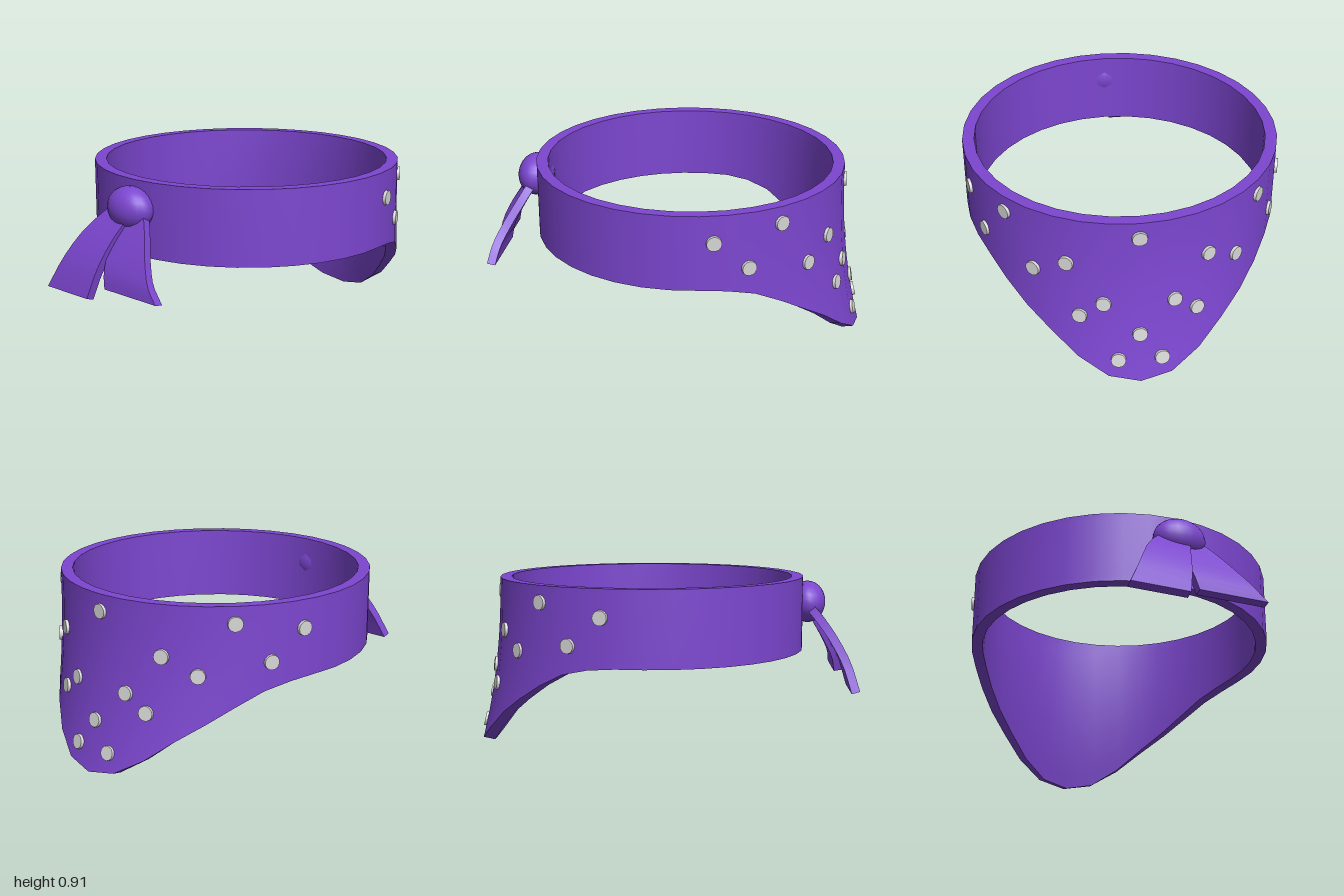
import * as THREE from 'three';
import { mergeGeometries } from 'three/addons/utils/BufferGeometryUtils.js';

const CX = 0.08, TOP = 0.91, HEM = 0.525, RADIUS = 0.805, THICK = 0.06;
// hem drop at every 10 degrees away from the point of the drape
const DROPS = [0.52, 0.49, 0.4, 0.29, 0.2, 0.115, 0.045, 0.012, 0];

function drop(deg) {
  const a = Math.abs(deg > 180 ? deg - 360 : deg) / 10;
  if (a >= 8) return 0;
  const i = Math.floor(a);
  return THREE.MathUtils.lerp(DROPS[i], DROPS[i + 1], a - i);
}

// point on the band: v runs 0 (top edge) to 1 (hem), inset moves inward
function bandPoint(deg, v, inset = 0) {
  const d = drop(deg), t = THREE.MathUtils.degToRad(deg);
  const bottom = HEM - d * (inset ? 1 : 0.97);
  const r = RADIUS + 0.115 * Math.pow(d / 0.52, 1.5) * v ** 2.1 - inset;
  return new THREE.Vector3(CX + r * Math.cos(t), TOP + (bottom - TOP) * v, r * Math.sin(t));
}

// smooth sheet over a grid of points; the outside is along du x dv
function sheet(nu, nv, point, closed = false) {
  const pos = [], index = [], cols = closed ? nu : nu + 1;
  for (let j = 0; j <= nv; j++)
    for (let i = 0; i < cols; i++) pos.push(...point(i / nu, j / nv).toArray());
  for (let j = 0; j < nv; j++)
    for (let i = 0; i < nu; i++) {
      const k = (i + 1) % cols;
      const a = j * cols + i, b = j * cols + k, c = a + cols, d = b + cols;
      index.push(a, b, d, a, d, c);
    }
  const g = new THREE.BufferGeometry();
  g.setAttribute('position', new THREE.Float32BufferAttribute(pos, 3));
  g.setIndex(index);
  g.computeVertexNormals();
  return g;
}

function bandGeometry() {
  const n = 36;
  return mergeGeometries([
    sheet(n, 12, (u, v) => bandPoint(u * 360, v), true),
    sheet(n, 1, (u, v) => bandPoint(u * 360, 1, v * THICK), true),
    sheet(n, 12, (u, v) => bandPoint(u * 360, 1 - v, THICK), true),
    sheet(n, 1, (u, v) => bandPoint(u * 360, 0, (1 - v) * THICK), true),
  ]);
}

// cloth tail: path in x and y, widening in z from [min, max] to [min, max]
function tailGeometry(path, zStart, zEnd) {
  const half = 0.022, steps = 10;
  const curve = new THREE.CatmullRomCurve3(path.map(([x, y]) => new THREE.Vector3(x, y, 0)));
  const corner = (s, n, z) => {
    const p = curve.getPoint(s), t = curve.getTangent(s);
    const zs = THREE.MathUtils.lerp(zStart[z], zEnd[z], s);
    return new THREE.Vector3(p.x + t.y * n * half, p.y - t.x * n * half, zs);
  };
  const ring = [[1, 0], [1, 1], [-1, 1], [-1, 0]];
  const parts = ring.map((a, k) => {
    const b = ring[(k + 1) % 4];
    return sheet(steps, 1, (u, v) => corner(u, ...(v ? b : a)));
  });
  parts.push(sheet(1, 1, (u, v) => corner(1, v * 2 - 1, u)));
  return mergeGeometries(parts);
}

export function createModel() {
  const group = new THREE.Group();
  const cloth = new THREE.MeshStandardMaterial({ color: 0x7c46d0 });
  cloth.name = 'purpleCloth';
  const metal = new THREE.MeshStandardMaterial({ color: 0xd6d6d6 });
  metal.name = 'silverStud';
  const add = (geometry, material, name) => {
    const m = new THREE.Mesh(geometry, material);
    m.name = name;
    group.add(m);
    return m;
  };

  // band with the pointed drape
  add(bandGeometry(), cloth, 'band');

  // knot and its two tails
  const knot = add(new THREE.SphereGeometry(1, 20, 14), cloth, 'knot');
  knot.scale.set(0.095, 0.11, 0.138);
  knot.position.set(-0.75, 0.77, 0);
  add(tailGeometry([[-0.74, 0.77], [-0.8, 0.7], [-0.865, 0.61], [-0.935, 0.48], [-0.978, 0.34]],
    [-0.1, 0.06], [-0.36, -0.055]), cloth, 'longTail');
  add(tailGeometry([[-0.74, 0.77], [-0.795, 0.68], [-0.86, 0.57], [-0.908, 0.47], [-0.922, 0.395]],
    [-0.06, 0.1], [0.015, 0.38]), cloth, 'shortTail');

  // studs: angle from the point of the drape, height
  const studs = [[0, 0.825], [0, 0.28], [50, 0.825], [75, 0.77], [62.5, 0.625], [25, 0.655],
    [37.5, 0.57], [12, 0.45], [20, 0.37], [7, 0.14]];
  const disc = new THREE.CylinderGeometry(0.037, 0.039, 0.024, 14);
  const up = new THREE.Vector3(0, 1, 0);
  for (const [angle, y] of studs)
    for (const side of angle ? [1, -1] : [1]) {
      const deg = angle * side;
      const v = (TOP - y) / (TOP - HEM + drop(deg) * 0.97);
      const p = bandPoint(deg, v);
      const across = bandPoint(deg + 3, v).sub(bandPoint(deg - 3, v));
      const down = bandPoint(deg, v + 0.03).sub(bandPoint(deg, v - 0.03));
      const normal = across.cross(down).normalize();
      const stud = add(disc, metal, 'stud');
      stud.position.copy(p);
      stud.quaternion.setFromUnitVectors(up, normal);
    }
  return group;
}
